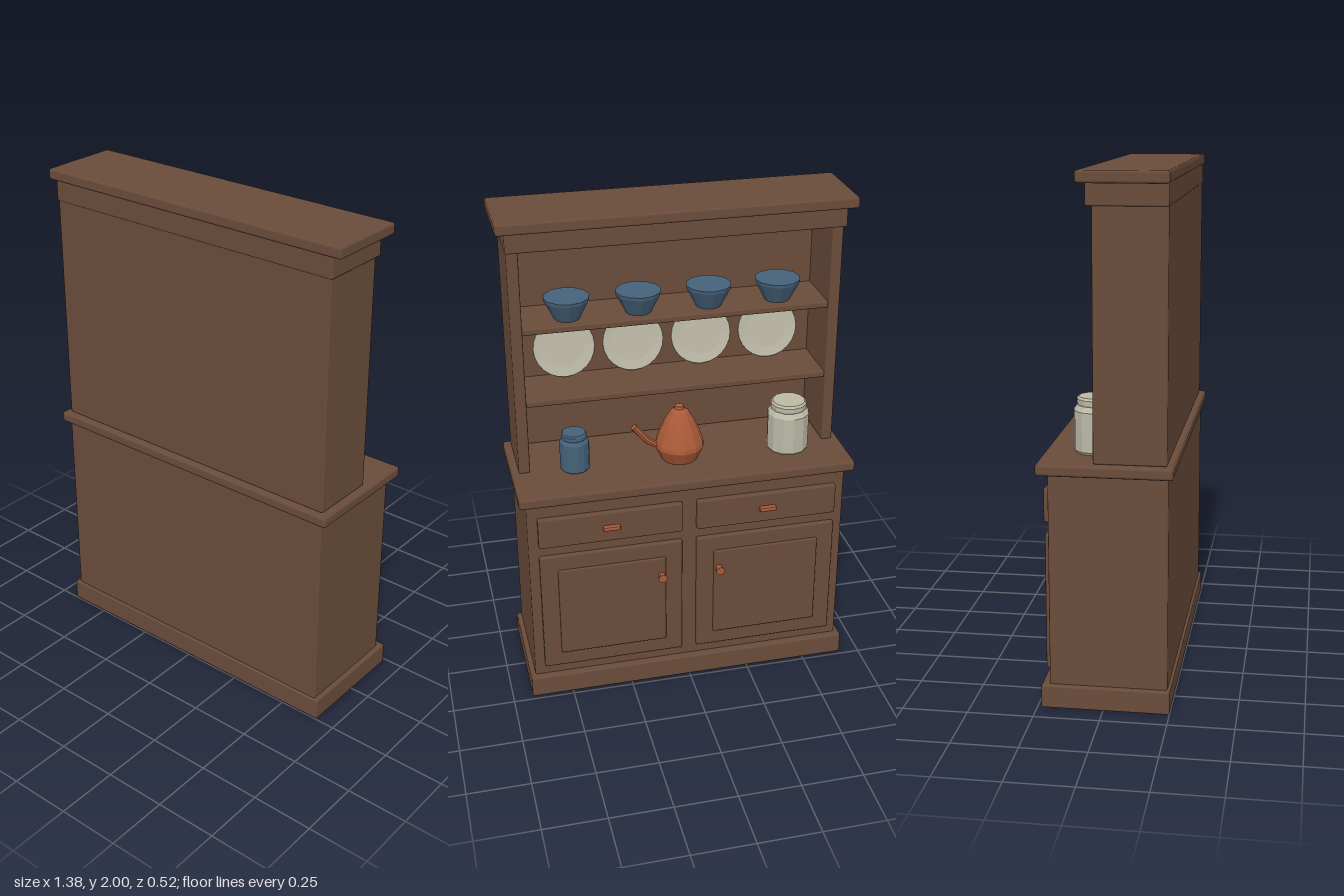
import * as THREE from 'three';
import { RoundedBoxGeometry } from 'three/addons/geometries/RoundedBoxGeometry.js';

function material(name, color, flatShading = false) {
  const m = new THREE.MeshStandardMaterial({ color, flatShading });
  m.name = name;
  return m;
}

export function createModel() {
  const wood = material('walnut wood', 0x6a4c3a);
  const blue = material('blue glaze', 0x46627a, true);
  const cream = material('cream glaze', 0xbcb9a6, true);
  const copper = material('copper', 0xaa5a38, true);
  const model = new THREE.Group();
  model.name = 'kitchenDresser';

  function add(name, geometry, mat, x = 0, y = 0, z = 0, parent = model) {
    const mesh = new THREE.Mesh(geometry, mat);
    mesh.name = name;
    mesh.position.set(x, y, z);
    parent.add(mesh);
    return mesh;
  }

  // Softly bevelled board given by its extents
  function board(name, x0, x1, y0, y1, z0, z1, mat = wood, bevel = 0.007) {
    const w = x1 - x0, h = y1 - y0, d = z1 - z0;
    const r = Math.min(bevel, Math.min(w, h, d) * 0.35);
    return add(name, new RoundedBoxGeometry(w, h, d, 1, r), mat,
      (x0 + x1) / 2, (y0 + y1) / 2, (z0 + z1) / 2);
  }

  // Turned vessel from [radius, height] pairs
  function turned(points, sides) {
    return new THREE.LatheGeometry(points.map(([r, y]) => new THREE.Vector2(r, y)), sides);
  }

  // Base cupboard
  board('plinth', -0.67, 0.67, 0, 0.09, -0.235, 0.25);
  board('cupboardBody', -0.65, 0.65, 0.085, 0.91, -0.205, 0.24);
  board('countertop', -0.68, 0.68, 0.905, 0.95, -0.247, 0.26, wood, 0.012);

  // Hutch
  for (const s of [-1, 1]) {
    const xs = [s * 0.605, s * 0.65].sort((a, b) => a - b);
    board('hutchSide', xs[0], xs[1], 0.95, 1.9, -0.037, 0.235);
  }
  board('hutchBack', -0.64, 0.64, 0.95, 1.9, 0.205, 0.235);
  board('lowerShelf', -0.61, 0.61, 1.23, 1.257, -0.025, 0.21);
  board('upperShelf', -0.61, 0.61, 1.533, 1.56, -0.025, 0.21);
  board('corniceFrieze', -0.655, 0.655, 1.875, 1.96, -0.06, 0.237);
  board('corniceTop', -0.69, 0.69, 1.955, 2, -0.09, 0.242, wood, 0.01);

  // Drawers and doors, mirrored about the centre
  for (const s of [-1, 1]) {
    const x = s * 0.32;
    board('drawerFront', x - 0.29, x + 0.29, 0.71, 0.84, -0.229, -0.2);
    board('drawerPull', x - 0.035, x + 0.035, 0.766, 0.785, -0.25, -0.225, copper);
    board('door', x - 0.29, x + 0.29, 0.135, 0.665, -0.225, -0.2);
    board('doorPanel', x - 0.22, x + 0.22, 0.2, 0.6, -0.234, -0.215);
    const knob = add('doorKnob', new THREE.CylinderGeometry(0.018, 0.012, 0.04, 10), copper,
      s * 0.12, 0.52, -0.245);
    knob.rotation.x = -Math.PI / 2;
  }

  // Bowls and leaning plates, four on each shelf
  const bowl = turned([[0, 0], [0.05, 0], [0.056, 0.012], [0.088, 0.075], [0.09, 0.088], [0, 0.088]], 12);
  const plate = turned([[0, 0], [0.08, 0], [0.125, 0.012], [0.123, 0.016], [0.085, 0.012], [0, 0.012]], 24);
  for (let i = 0; i < 4; i++) {
    const x = -0.42 + i * 0.28;
    add('bowl', bowl, blue, x, 1.56, 0.057);
    const p = add('plate', plate, cream, x, 1.383, 0.187);
    p.rotation.x = -Math.PI / 2 + 0.14;
  }

  // Lidded jars
  const jar = turned([[0, 0], [0.078, 0], [0.085, 0.01], [0.085, 0.16], [0.071, 0.18],
    [0.073, 0.186], [0.073, 0.203], [0.066, 0.212], [0, 0.212]], 12);
  add('largeJar', jar, cream, -0.45, 0.95, -0.055);
  add('smallJar', jar, blue, 0.425, 0.95, -0.032).scale.set(0.7, 0.76, 0.7);

  // Teapot with a curved spout
  const pot = new THREE.Group();
  pot.name = 'teapot';
  pot.position.set(0, 0.95, -0.04);
  model.add(pot);
  add('teapotBody', turned([[0, 0], [0.072, 0], [0.1, 0.058], [0.098, 0.075], [0.08, 0.125],
    [0.06, 0.168], [0.035, 0.21], [0.02, 0.22], [0.018, 0.232], [0, 0.238]], 12), copper, 0, 0, 0, pot);
  const path = new THREE.CatmullRomCurve3([[0.08, 0.06], [0.125, 0.085], [0.16, 0.125], [0.185, 0.155]]
    .map(([x, y]) => new THREE.Vector3(x, y, 0)));
  add('spout', new THREE.TubeGeometry(path, 6, 0.014, 8), copper, 0, 0, 0, pot);
  const tip = add('spoutTip', new THREE.CylinderGeometry(0.014, 0.014, 0.004, 8), copper, 0.185, 0.155, 0, pot);
  tip.rotation.z = -0.7;

  return model;
}
